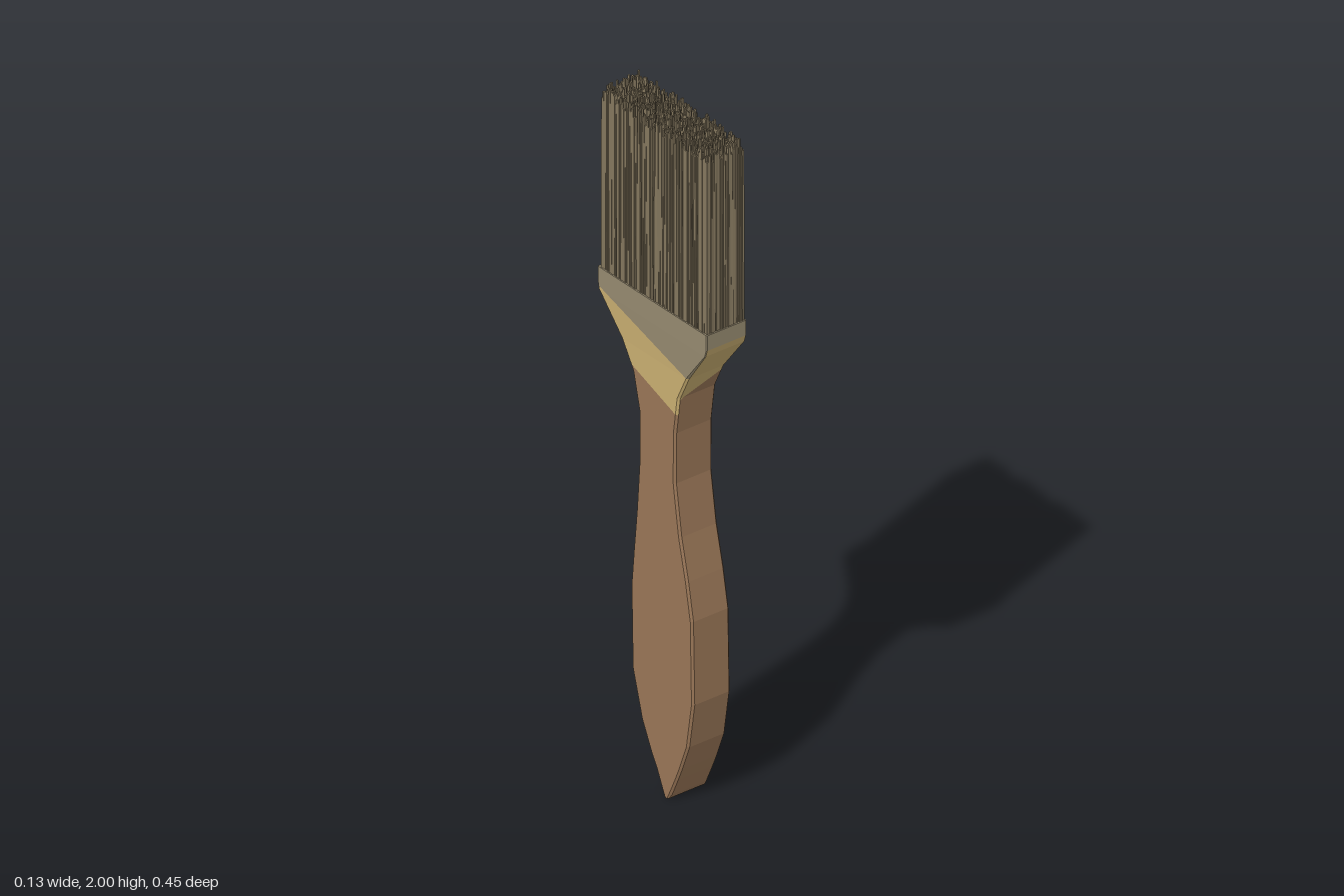
import * as THREE from 'three';
import { mergeGeometries } from 'three/addons/utils/BufferGeometryUtils.js';

const mat = (name, color) => Object.assign(new THREE.MeshStandardMaterial({ color }), { name });

// Outline of the handle and ferrule: height, front z, back z
const ROWS = [
  [0, 0.06, 0.046], [0.015, 0.07, 0.036], [0.07, 0.095, 0.011], [0.11, 0.112, -0.012],
  [0.19, 0.142, -0.05], [0.325, 0.163, -0.088], [0.57, 0.158, -0.093], [0.68, 0.138, -0.083],
  [0.8, 0.11, -0.071], [0.95, 0.088, -0.06], [1.1, 0.089, -0.06], [1.21, 0.104, -0.086],
  [1.285, 0.14, -0.132], [1.39, 0.217, -0.219], [1.41, 0.223, -0.224], [1.455, 0.223, -0.224],
];

// Height at which the gold and the grey begin, for right, back, left and front
const wideGold = (p) => 1.192 - 0.37 * p.z;
const BOUNDS = [
  [wideGold, (p) => 1.406 - 0.02 * p.z],
  [(p) => 1.25 - 0.5 * p.x, () => 1.405],
  [wideGold, (p) => 1.329 - 0.32 * p.z],
  [(p) => 1.237 + 0.58 * p.x, () => 1.41],
];

// Chamfered rectangular cross-section
function ring([y, f, b]) {
  const ferrule = y > 1.38;
  const h = ferrule ? 0.065 : 0.062;
  const c = ferrule ? 0.002 : Math.min(0.006, (f - b) / 4);
  return [
    [h, f - c], [h, b + c], [h - c, b], [c - h, b],
    [-h, b + c], [-h, f - c], [c - h, f], [h - c, f],
  ].map(([x, z]) => new THREE.Vector3(x, y, z));
}

// Part of a polygon above (sign 1) or below (sign -1) a boundary height
function clip(poly, bound, sign) {
  const out = [];
  poly.forEach((p, i) => {
    const q = poly[(i + 1) % poly.length];
    const dp = sign * (p.y - bound(p));
    const dq = sign * (q.y - bound(q));
    if (dp >= 0) out.push(p);
    if (dp * dq < 0) out.push(p.clone().lerp(q, dp / (dp - dq)));
  });
  return out;
}

function flatMesh(polys, material, name) {
  const pts = [];
  for (const p of polys) for (let i = 1; i < p.length - 1; i++) pts.push(p[0], p[i], p[i + 1]);
  const geo = new THREE.BufferGeometry().setFromPoints(pts);
  geo.computeVertexNormals();
  const mesh = new THREE.Mesh(geo, material);
  mesh.name = name;
  return mesh;
}

export function createModel() {
  const group = new THREE.Group();
  group.name = 'paintbrush';

  // Faceted body, divided into wooden handle, gold neck and grey band
  const rings = ROWS.map(ring);
  const wood = [rings[0].slice().reverse()];
  const gold = [];
  const grey = [rings.at(-1)];
  for (let i = 0; i < rings.length - 1; i++) {
    for (let j = 0; j < 8; j++) {
      const k = (j + 1) % 8;
      const quad = [rings[i][j], rings[i][k], rings[i + 1][k], rings[i + 1][j]];
      const [goldFrom, greyFrom] = BOUNDS[j >> 1];
      wood.push(clip(quad, goldFrom, -1));
      gold.push(clip(clip(quad, goldFrom, 1), greyFrom, -1));
      grey.push(clip(quad, greyFrom, 1));
    }
  }
  group.add(
    flatMesh(wood, mat('wood', 0x997657), 'handle'),
    flatMesh(gold, mat('gold', 0xc9ae71), 'neck'),
    flatMesh(grey, mat('grey metal', 0x968a70), 'ferruleBand'),
  );

  // Dense grid of thin, slightly leaning bristles with uneven tips
  let seed = 7;
  const rand = () => (seed = (seed * 16807) % 2147483647) / 2147483647;
  const strands = [];
  const NX = 20, NZ = 70, PITCH = 0.0062;
  for (let i = 0; i < NX; i++) {
    for (let j = 0; j < NZ; j++) {
      const height = 0.51 + 0.04 * rand() ** 2;
      const strand = new THREE.BoxGeometry(0.0052, height, 0.0052);
      strand.rotateY((rand() - 0.5) * 0.9);
      strand.rotateX((rand() - 0.5) * 0.008);
      strand.rotateZ((rand() - 0.5) * 0.008);
      strand.translate(
        (i - (NX - 1) / 2) * PITCH,
        1.45 + height / 2,
        0.003 + (j - (NZ - 1) / 2) * PITCH,
      );
      strands.push(strand);
    }
  }
  const bristles = new THREE.Mesh(mergeGeometries(strands), mat('bristle tan', 0x83765d));
  bristles.name = 'bristles';
  group.add(bristles);
  return group;
}
